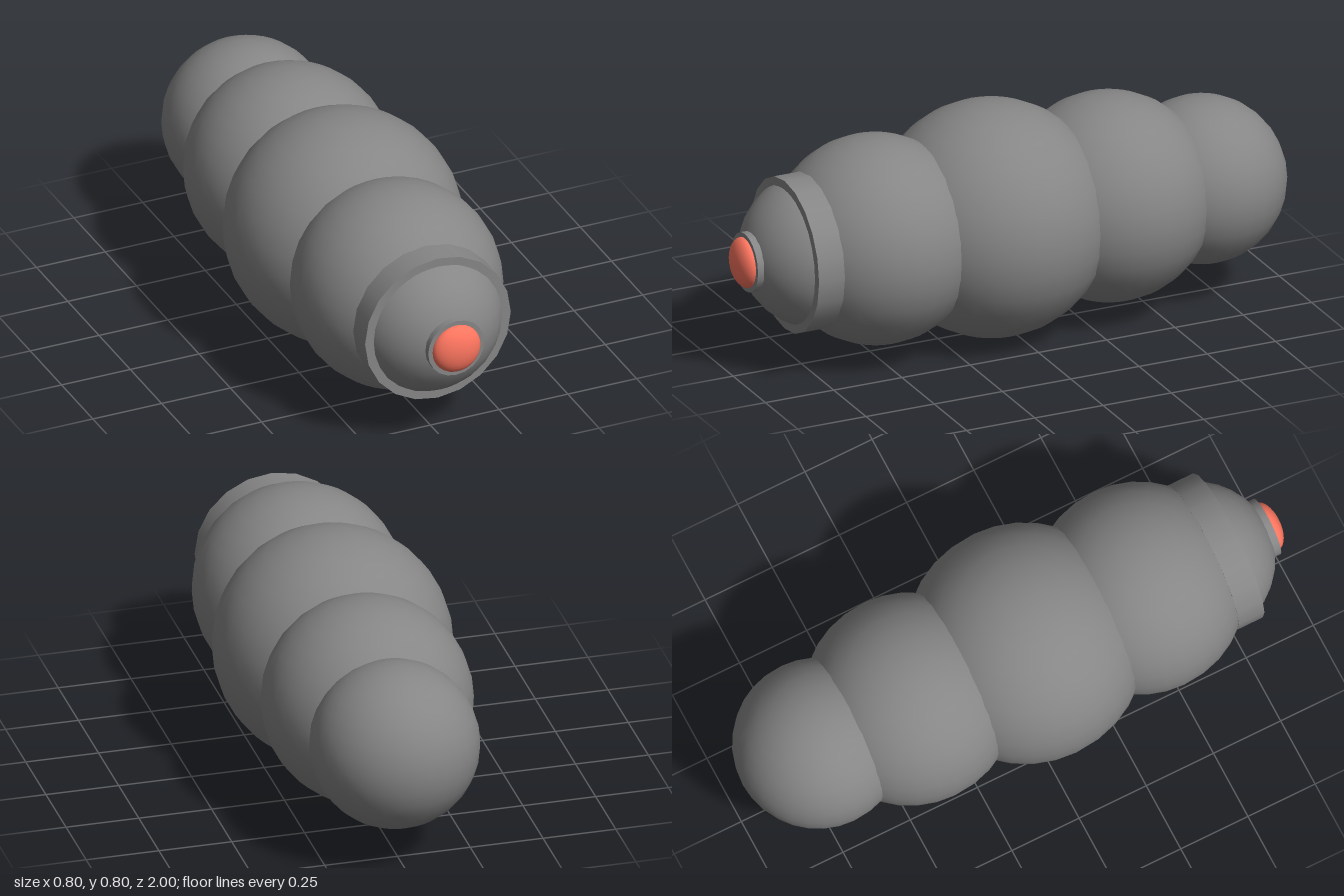
import * as THREE from 'three';

const AXIS_Y = 0.403; // height of the body's long axis

export function createModel() {
  const model = new THREE.Group();
  const darkGrey = new THREE.MeshStandardMaterial({ color: 0x868686 });
  const red = new THREE.MeshStandardMaterial({ color: 0xff7660 });

  function add(name, geometry, z, material = darkGrey) {
    const mesh = new THREE.Mesh(geometry, material);
    mesh.name = name;
    mesh.position.set(0, AXIS_Y, z);
    model.add(mesh);
    return mesh;
  }

  const ball = (radius) => new THREE.SphereGeometry(radius, 32, 16);
  const disc = (radius, depth) =>
    new THREE.CylinderGeometry(radius, radius, depth, 20).rotateX(Math.PI / 2);

  // Overlapping body segments, tail to front: [name, radius, z]
  const segments = [
    ['tailSegment', 0.284, -0.716],
    ['rearSegment', 0.354, -0.375],
    ['middleSegment', 0.401, 0.055],
    ['frontSegment', 0.354, 0.48],
    ['head', 0.263, 0.692],
  ];
  for (const [name, radius, z] of segments) add(name, ball(radius), z);

  // Collar around the head
  add('collar', disc(0.265, 0.095), 0.763);

  // Snout ring and flattened nose
  add('snoutRing', disc(0.102, 0.03), 0.942);
  add('nose', ball(0.086), 0.957, red).scale.z = 0.5;

  return model;
}
